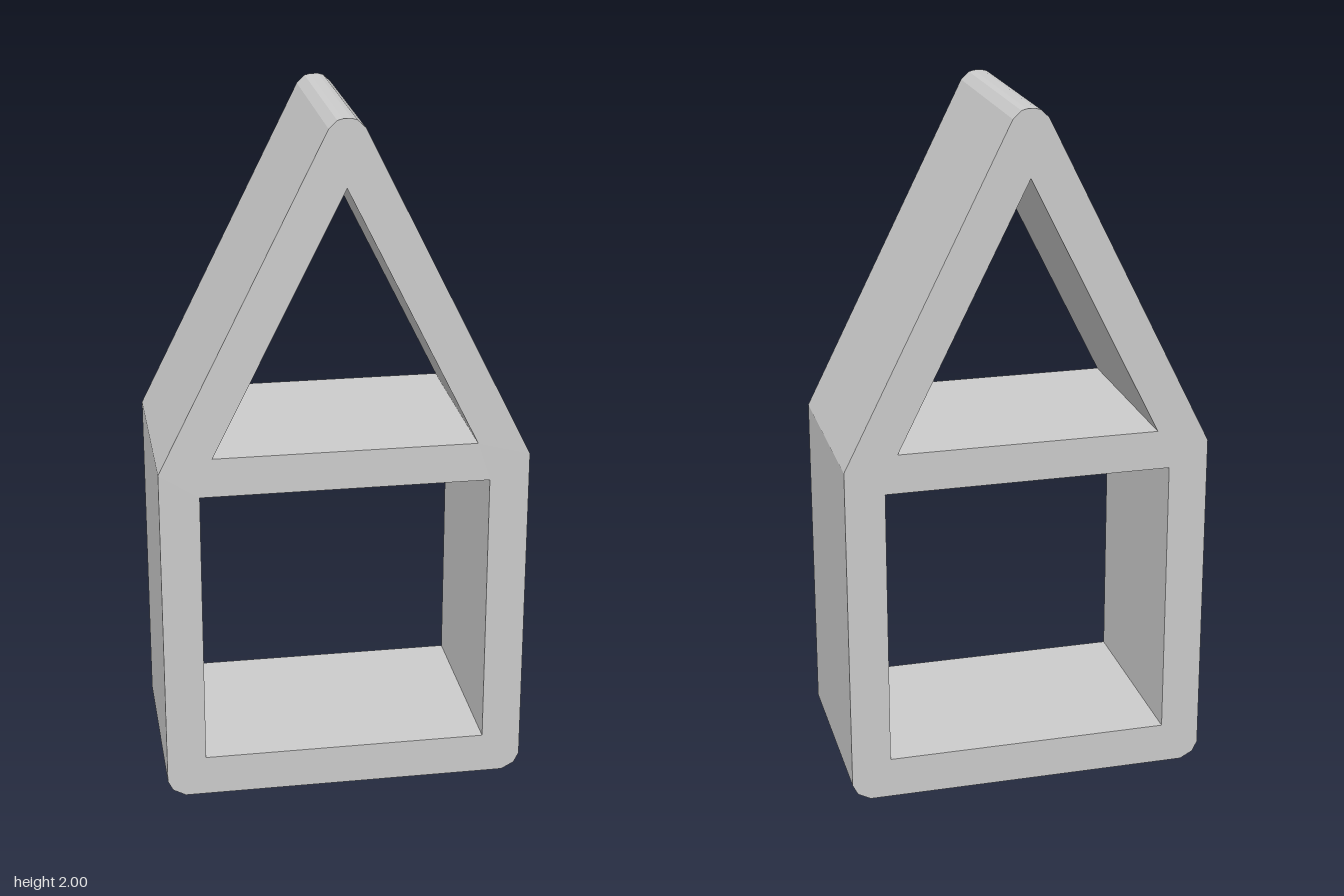
import * as THREE from 'three';

const DEPTH = 0.587;

// Closed path through a list of [x, y] points
const trace = (path, points) => {
  path.setFromPoints(points.map(([x, y]) => new THREE.Vector2(x, y)));
  path.closePath();
  return path;
};

export function createModel() {
  const group = new THREE.Group();
  group.name = 'houseFrame';

  const grey = new THREE.MeshStandardMaterial({ color: 0xcccccc });
  grey.name = 'light grey';

  // Right half of the outline, bottom to top, with bevelled foot and ridge
  const half = [
    [0.475, 0], [0.512, 0.02], [0.527, 0.05],
    [0.527, 1.02], [0.05, 1.974], [0.027, 1.996], [0.012, 2],
  ];
  const mirrored = half.map(([x, y]) => [-x, y]).reverse();
  const outline = trace(new THREE.Shape(), [...half, ...mirrored]);

  // Square room opening and triangular attic opening
  outline.holes.push(
    trace(new THREE.Path(), [[-0.413, 0.12], [-0.413, 0.946], [0.413, 0.946], [0.413, 0.12]]),
    trace(new THREE.Path(), [[-0.376, 1.06], [0, 1.812], [0.376, 1.06]]),
  );

  const geometry = new THREE.ExtrudeGeometry(outline, { depth: DEPTH, bevelEnabled: false });
  geometry.translate(0, 0, -DEPTH / 2);

  const frame = new THREE.Mesh(geometry, grey);
  frame.name = 'frame';
  group.add(frame);
  return group;
}
